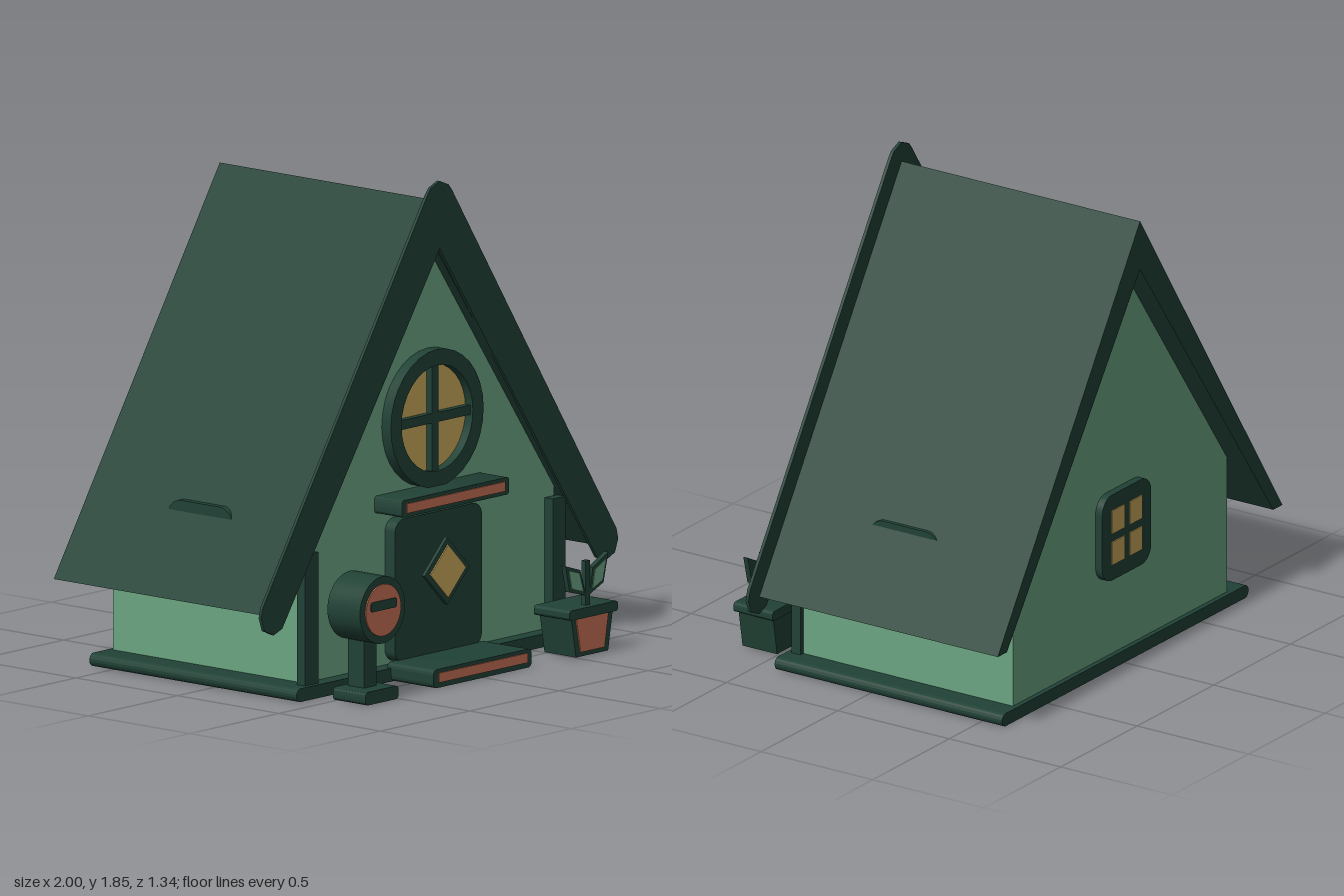
import * as THREE from 'three';
import { toCreasedNormals } from 'three/addons/utils/BufferGeometryUtils.js';

const mat = (name, color) => {
  const m = new THREE.MeshStandardMaterial({ color });
  m.name = name;
  return m;
};

const poly = (pts) => new THREE.Shape(pts.map(([x, y]) => new THREE.Vector2(x, y)));

// Rounded rectangle between two corners
function roundRect(x0, y0, x1, y1, r) {
  const s = new THREE.Shape();
  s.moveTo(x0 + r, y0);
  s.lineTo(x1 - r, y0);
  s.absarc(x1 - r, y0 + r, r, -Math.PI / 2, 0);
  s.lineTo(x1, y1 - r);
  s.absarc(x1 - r, y1 - r, r, 0, Math.PI / 2);
  s.lineTo(x0 + r, y1);
  s.absarc(x0 + r, y1 - r, r, Math.PI / 2, Math.PI);
  s.lineTo(x0, y0 + r);
  s.absarc(x0 + r, y0 + r, r, Math.PI, Math.PI * 1.5);
  return s;
}

function disc(x, y, r, hole = 0) {
  const s = new THREE.Shape();
  s.absarc(x, y, r, 0, Math.PI * 2);
  if (hole) s.holes.push(new THREE.Path().absarc(x, y, hole, 0, Math.PI * 2, true));
  return s;
}

export function createModel() {
  const dark = mat('dark green', 0x214236);
  const green = mat('wall green', 0x6ba582);
  const coral = mat('coral', 0xc47055);
  const gold = mat('window gold', 0xc9aa5c);

  const group = (name, parent) => {
    const g = new THREE.Group();
    g.name = name;
    parent.add(g);
    return g;
  };
  // Extrude a front-facing outline from z0 to z1
  const slab = (parent, name, shape, z0, z1, material) => {
    const geo = new THREE.ExtrudeGeometry(shape, { depth: z1 - z0, bevelEnabled: false, curveSegments: 16 });
    geo.translate(0, 0, z0);
    const mesh = new THREE.Mesh(toCreasedNormals(geo, 0.6), material);
    mesh.name = name;
    parent.add(mesh);
    return mesh;
  };
  const box = (parent, name, x0, y0, x1, y1, z0, z1, material) =>
    slab(parent, name, poly([[x0, y0], [x1, y0], [x1, y1], [x0, y1]]), z0, z1, material);

  const house = new THREE.Group();
  house.name = 'cottage';

  // Base, walls and roof
  slab(house, 'base', roundRect(-0.81, 0, 0.8, 0.05, 0.024), -0.6, 0.42, dark);
  slab(house, 'walls', poly([[-0.7, 0.03], [0.7, 0.03], [0.7, 0.59], [0, 1.6], [-0.7, 0.59]]), -0.58, 0.36, green);
  slab(house, 'roof', poly([[0, 1.77], [-0.93, 0.34], [-0.87, 0.34], [0, 1.58], [0.87, 0.34], [0.93, 0.34]]), -0.67, 0.4, dark);

  // Front trim under the gable, with blunt ends
  const half = [[0.05, 1.825], [0.07, 1.8], [0.99, 0.385], [1, 0.345], [0.982, 0.295], [0.93, 0.272], [0.882, 0.29]];
  const mirrored = half.map(([x, y]) => [-x, y]).reverse();
  slab(house, 'gableTrim', poly([[0, 1.845], ...half, [0, 1.59], ...mirrored]), 0.4, 0.413, dark);

  // Corner posts
  box(house, 'leftPost', 0.648, 0.05, 0.72, 0.545, 0.36, 0.4, dark);
  box(house, 'rightPost', -0.74, 0.05, -0.665, 0.545, 0.36, 0.4, dark);

  // Round gable window
  const cx = -0.005;
  const round = group('roundWindow', house);
  slab(round, 'roundFrame', disc(cx, 0.95, 0.26, 0.2), 0.355, 0.405, dark);
  slab(round, 'roundGlass', disc(cx, 0.95, 0.205), 0.36, 0.369, gold);
  box(round, 'verticalBar', cx - 0.018, 0.745, cx + 0.018, 1.155, 0.365, 0.395, dark);
  box(round, 'horizontalBar', cx - 0.205, 0.932, cx + 0.205, 0.968, 0.365, 0.394, dark);

  // Ledge over the door
  slab(house, 'ledge', roundRect(-0.305, 0.63, 0.295, 0.695, 0.012), 0.355, 0.495, dark);
  box(house, 'ledgeStripe', -0.28, 0.645, 0.27, 0.681, 0.494, 0.5, coral);

  // Door with diamond window, and doorstep
  const diamond = (r) => poly([[cx, 0.38 - r], [cx + r, 0.38], [cx, 0.38 + r], [cx - r, 0.38]]);
  const door = group('door', house);
  slab(door, 'doorPanel', roundRect(-0.247, 0.06, 0.24, 0.6, 0.05), 0.355, 0.41, dark);
  slab(door, 'diamondFrame', diamond(0.127), 0.44, 0.455, dark);
  slab(door, 'diamondGlass', diamond(0.1), 0.454, 0.46, gold);
  slab(house, 'doorstep', roundRect(-0.28, 0, 0.27, 0.07, 0.02), 0.4, 0.628, dark);
  box(house, 'doorstepStripe', -0.252, 0.02, 0.243, 0.056, 0.627, 0.633, coral);

  // Four-pane windows, made facing +z and turned onto the back and side walls
  const paneWindow = (name, x, y, z, turn, depth) => {
    const w = group(name, house);
    slab(w, 'windowFrame', roundRect(-0.16, -0.17, 0.16, 0.17, 0.065), -0.01, depth, dark);
    for (const sx of [-1, 1]) for (const sy of [-1, 1]) {
      const px = sx * 0.058, py = sy * 0.062;
      box(w, 'windowPane', px - 0.04, py - 0.046, px + 0.04, py + 0.046, depth - 0.002, depth + 0.004, gold);
    }
    w.position.set(x, y, z);
    w.rotation.y = turn;
  };
  paneWindow('backWindow', 0, 0.53, -0.58, Math.PI, 0.03);
  paneWindow('leftWindow', 0.7, 0.5, -0.115, Math.PI / 2, 0.031);
  paneWindow('rightWindow', -0.7, 0.5, -0.115, -Math.PI / 2, 0.042);

  // Round post box on a footed post
  const post = group('postBox', house);
  slab(post, 'foot', roundRect(-0.685, 0, -0.5, 0.05, 0.015), 0.49, 0.65, dark);
  box(post, 'stand', -0.625, 0.04, -0.555, 0.25, 0.51, 0.59, dark);
  slab(post, 'drum', disc(-0.59, 0.348, 0.127), 0.49, 0.65, dark);
  slab(post, 'drumFace', disc(-0.59, 0.348, 0.098), 0.649, 0.655, coral);
  slab(post, 'slot', roundRect(-0.662, 0.35, -0.52, 0.386, 0.008), 0.652, 0.659, dark);

  // Potted plant
  const plant = group('pottedPlant', house);
  slab(plant, 'pot', poly([[0.488, 0.005], [0.668, 0.005], [0.695, 0.16], [0.46, 0.16]]), 0.5, 0.655, dark);
  slab(plant, 'potPanel', poly([[0.51, 0.022], [0.643, 0.022], [0.665, 0.15], [0.485, 0.15]]), 0.654, 0.66, coral);
  slab(plant, 'potRim', roundRect(0.44, 0.15, 0.712, 0.188, 0.012), 0.49, 0.665, dark);
  box(plant, 'stem', 0.563, 0.18, 0.588, 0.355, 0.615, 0.635, dark);
  const leaves = {
    leftLeaf: [[0.585, 0.225], [0.665, 0.26], [0.692, 0.37], [0.605, 0.325]],
    rightLeaf: [[0.565, 0.225], [0.535, 0.325], [0.452, 0.352], [0.475, 0.25]],
  };
  for (const [name, pts] of Object.entries(leaves)) {
    const mx = pts.reduce((a, p) => a + p[0] / 4, 0);
    const my = pts.reduce((a, p) => a + p[1] / 4, 0);
    const inner = pts.map(([x, y]) => [mx + (x - mx) * 0.68, my + (y - my) * 0.68]);
    slab(plant, name, poly(pts), 0.615, 0.635, dark);
    slab(plant, name + 'Face', poly(inner), 0.634, 0.638, green);
  }

  return house;
}
